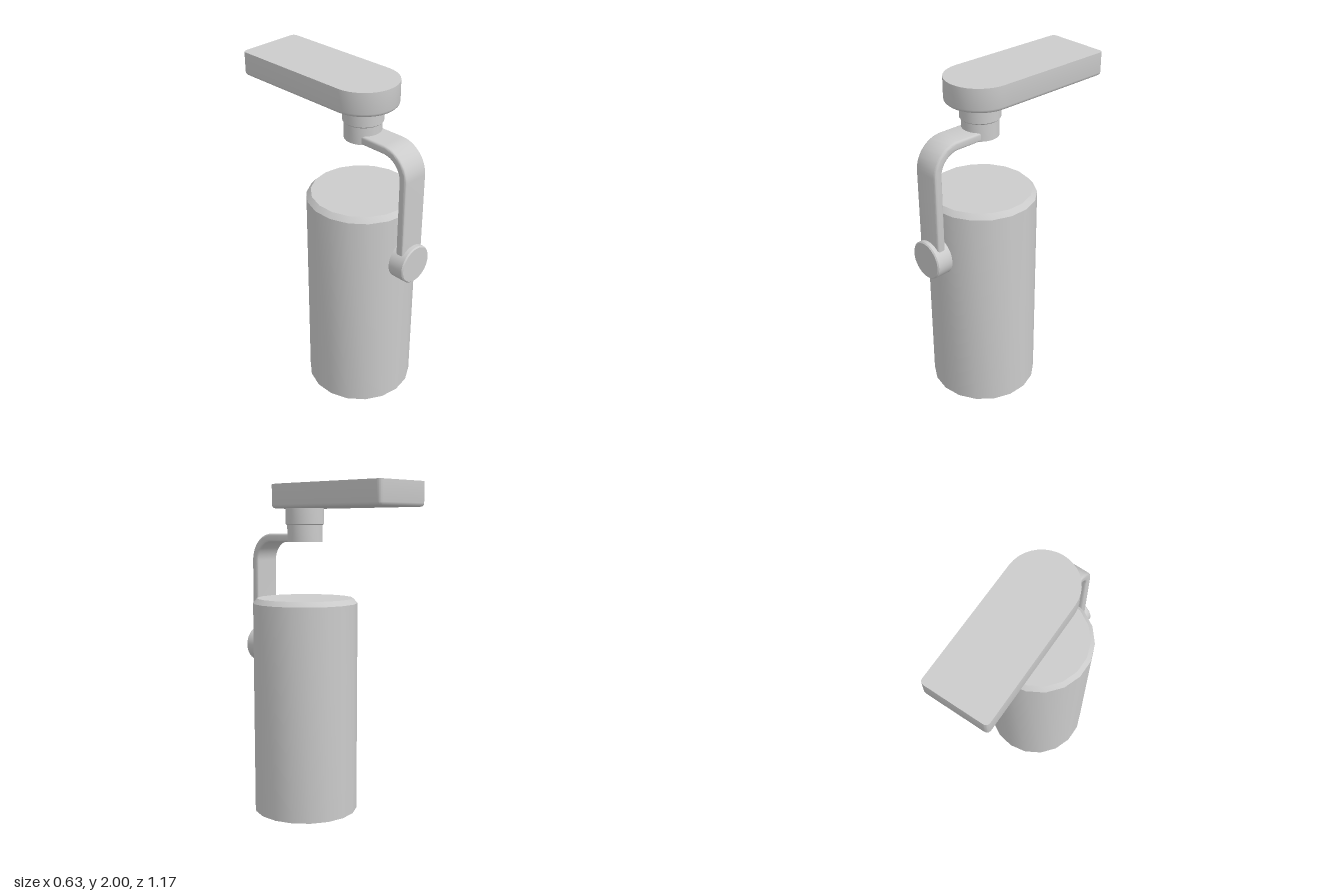
import * as THREE from 'three';
import { toCreasedNormals } from 'three/addons/utils/BufferGeometryUtils.js';

const AXIS_Z = 0.168; // vertical axis shared by lamp body, swivel and rounded canopy end

export function createModel() {
  const group = new THREE.Group();
  const material = new THREE.MeshStandardMaterial({ color: 0xcccccc });

  const add = (name, geometry, x = 0, y = 0, z = 0) => {
    const mesh = new THREE.Mesh(toCreasedNormals(geometry, 0.6), material);
    mesh.name = name;
    mesh.position.set(x, y, z);
    group.add(mesh);
    return mesh;
  };
  const lathe = (points, sides) =>
    new THREE.LatheGeometry(points.map(([r, y]) => new THREE.Vector2(r, y)), sides);

  // Lamp body: chamfered lid on top, conical reflector recess below
  add('lampBody', lathe([
    [0, 0.07], [0.214, 0.07], [0.306, 0], [0.32, 0],
    [0.32, 1.292], [0.294, 1.322], [0, 1.322],
  ], 18), 0, 0, AXIS_Z);

  // Swivel: wide collar under the canopy, narrower hub below it
  add('swivelHub', lathe([[0, 1.66], [0.106, 1.66], [0.106, 1.77], [0, 1.77]], 24), 0, 0, AXIS_Z);
  add('swivelCollar', lathe([
    [0, 1.76], [0.108, 1.76], [0.115, 1.767], [0.115, 1.87], [0, 1.87],
  ], 24), 0, 0, AXIS_Z);

  // Canopy: round front end, softened rear corners and lower edge
  const w = 0.197, back = -0.585, corner = 0.028;
  const plan = new THREE.Shape();
  plan.moveTo(-w, back + corner);
  plan.quadraticCurveTo(-w, back, -w + corner, back);
  plan.lineTo(w - corner, back);
  plan.quadraticCurveTo(w, back, w, back + corner);
  plan.lineTo(w, AXIS_Z);
  plan.absarc(0, AXIS_Z, w, 0, Math.PI, false);
  plan.closePath();
  const canopy = new THREE.ExtrudeGeometry(plan, {
    depth: 0.12, curveSegments: 9, bevelSegments: 3,
    bevelThickness: 0.02, bevelSize: 0.02, bevelOffset: -0.02,
  });
  canopy.rotateX(Math.PI / 2);
  // Flatten the upper bevel so the top keeps a sharp edge
  const pos = canopy.attributes.position;
  for (let i = 0; i < pos.count; i++) pos.setY(i, Math.min(pos.getY(i), 0));
  add('canopy', canopy, 0, 2, 0);

  // Bent arm: side profile in (z, y), extruded across x
  const bendZ = 0.385, bendY = 1.54;
  const side = new THREE.Shape();
  side.moveTo(0.505, 1.0);
  side.lineTo(0.555, 1.0);
  side.lineTo(0.555, bendY);
  side.absellipse(bendZ, bendY, 0.17, 0.17, 0, Math.PI / 2, false, 0);
  side.lineTo(0.19, 1.71);
  side.lineTo(0.19, 1.66);
  side.lineTo(bendZ, 1.66);
  side.absellipse(bendZ, bendY, 0.12, 0.12, Math.PI / 2, 0, true, 0);
  side.closePath();
  const width = 0.164, round = 0.012;
  const arm = new THREE.ExtrudeGeometry(side, {
    depth: width - 2 * round, curveSegments: 8, bevelSegments: 3,
    bevelThickness: round, bevelSize: round, bevelOffset: -round,
  });
  arm.translate(0, 0, -width / 2 + round);
  arm.rotateY(-Math.PI / 2);
  add('arm', arm);

  // Pivot knob fixing the arm to the front of the body
  const knob = lathe([[0, 0], [0.113, 0], [0.113, 0.094], [0.106, 0.101], [0, 0.101]], 32);
  knob.rotateX(Math.PI / 2);
  add('pivotKnob', knob, 0, 1.008, 0.484);

  return group;
}
